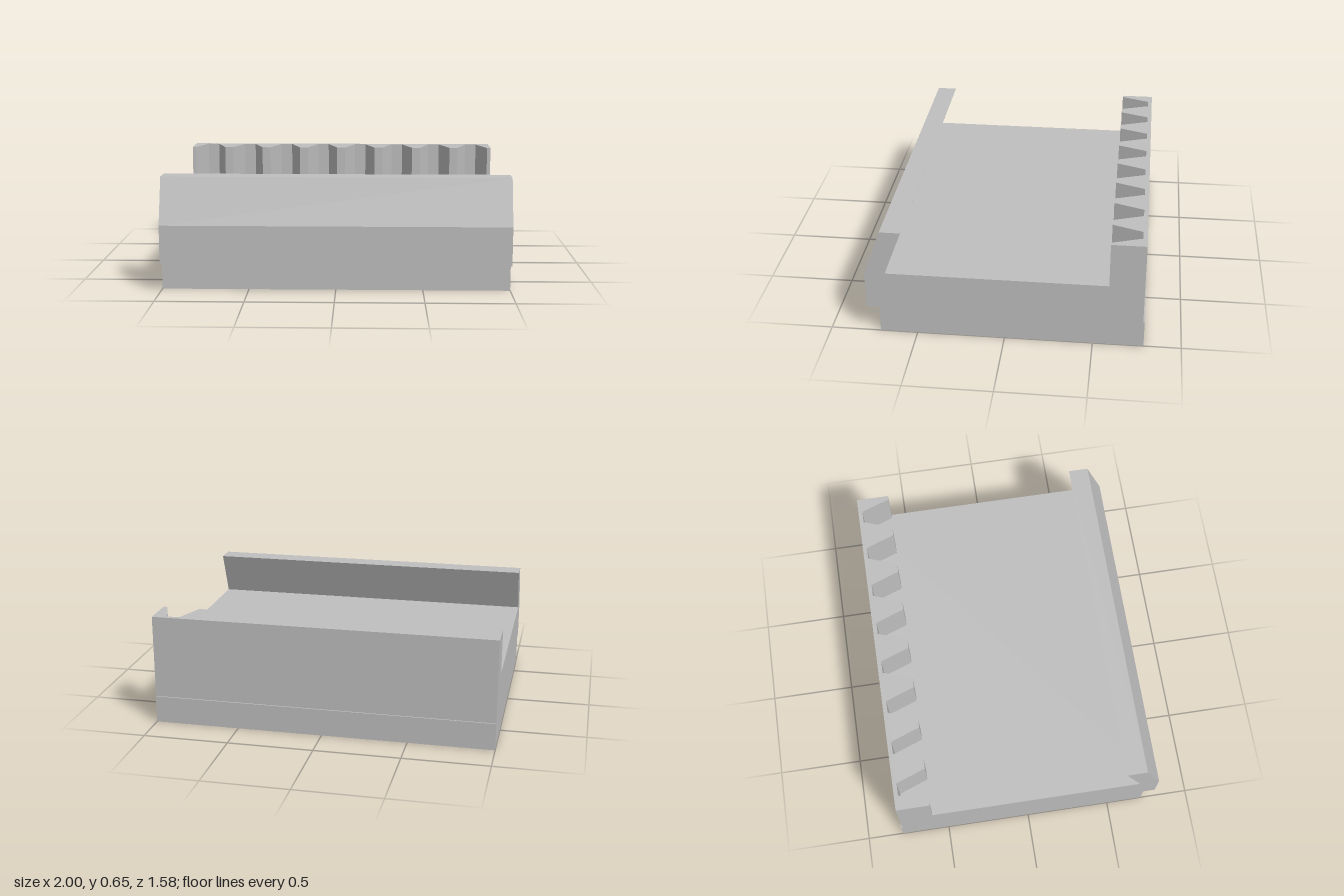
import * as THREE from 'three';

const FLOOR = 0.385, TOP = 0.65;

export function createModel() {
  const group = new THREE.Group();
  const grey = new THREE.MeshStandardMaterial({ color: 0xbfbfbf });
  grey.name = 'plainGrey';

  const add = (name, geometry) => {
    const mesh = new THREE.Mesh(geometry, grey);
    mesh.name = name;
    group.add(mesh);
  };
  const extrude = (points, depth) => new THREE.ExtrudeGeometry(
    new THREE.Shape(points.map(([a, b]) => new THREE.Vector2(a, b))),
    { depth, bevelEnabled: false });

  // Side profile given as (z, y), swept across the full width
  const sweep = (points) => extrude(points, 2).translate(0, 0, -1).rotateY(-Math.PI / 2);

  // Block with a recess under the front edge and a small ledge at the back
  add('base', sweep([
    [-0.788, 0], [0.714, 0], [0.714, 0.16], [0.788, 0.16], [0.788, FLOOR],
    [-0.78, FLOOR], [-0.78, 0.16], [-0.788, 0.16],
  ]));

  // Front lip leaning inwards
  add('frontLip', sweep([[0.672, FLOOR], [0.788, FLOOR], [0.69, TOP], [0.571, TOP]]));

  // Toothed back wall: outline as (x, -z) with eight tapered grooves
  const back = 0.78, root = 0.755, tip = 0.583, pitch = 0.251;
  const outline = [[1, tip], [1, back], [-1, back], [-1, tip]];
  for (let i = 0; i < 8; i++) {
    const x = (i - 3.5) * pitch;
    outline.push([x - 0.0985, tip], [x - 0.036, root], [x + 0.036, root], [x + 0.0985, tip]);
  }
  add('toothedBackWall', extrude(outline, TOP - FLOOR).rotateX(-Math.PI / 2).translate(0, FLOOR, 0));

  return group;
}
